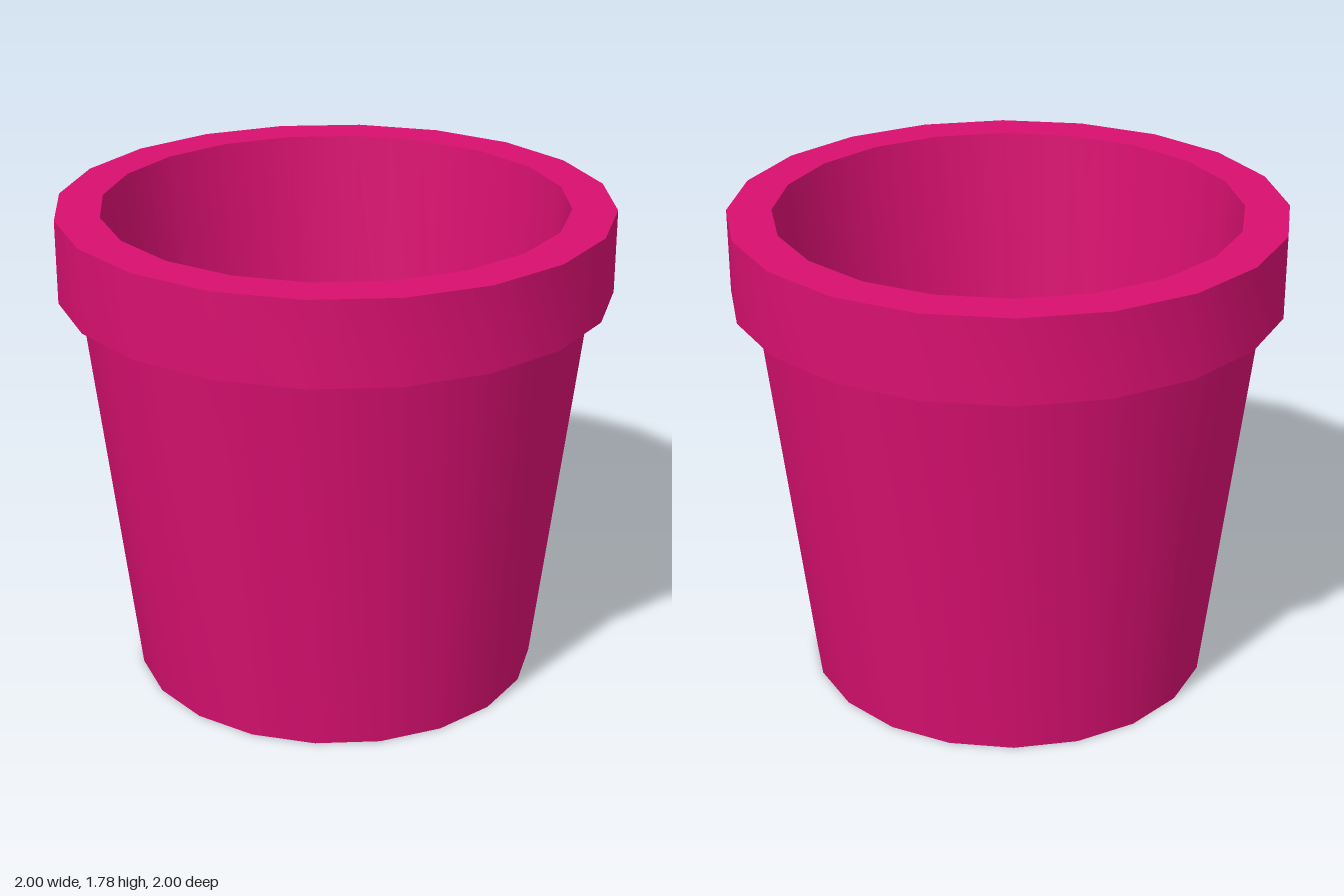
import * as THREE from 'three';
import { toCreasedNormals } from 'three/addons/utils/BufferGeometryUtils.js';

const SIDES = 20;
const material = new THREE.MeshStandardMaterial({ color: 0xd81070 });

// Revolves a profile of [radius, height] points; round faces stay smooth, corners sharp
function revolve(name, profile) {
  const points = profile.map(([r, y]) => new THREE.Vector2(r, y));
  const geometry = toCreasedNormals(new THREE.LatheGeometry(points, SIDES), Math.PI / 6);
  const mesh = new THREE.Mesh(geometry, material);
  mesh.name = name;
  return mesh;
}

export function createModel() {
  const pot = new THREE.Group();
  pot.name = 'flowerPot';

  // Closed base and tapered outer wall
  pot.add(revolve('body', [[0, 0], [0.75, 0], [0.92, 1.455]]));

  // Thick collar with a slightly sloped underside and flat top
  pot.add(revolve('rim', [[0.92, 1.455], [1, 1.48], [1, 1.785], [0.84, 1.785]]));

  // Tapered inner wall down to the flat floor
  pot.add(revolve('inside', [[0.84, 1.785], [0.69, 0.15], [0, 0.15]]));

  return pot;
}
